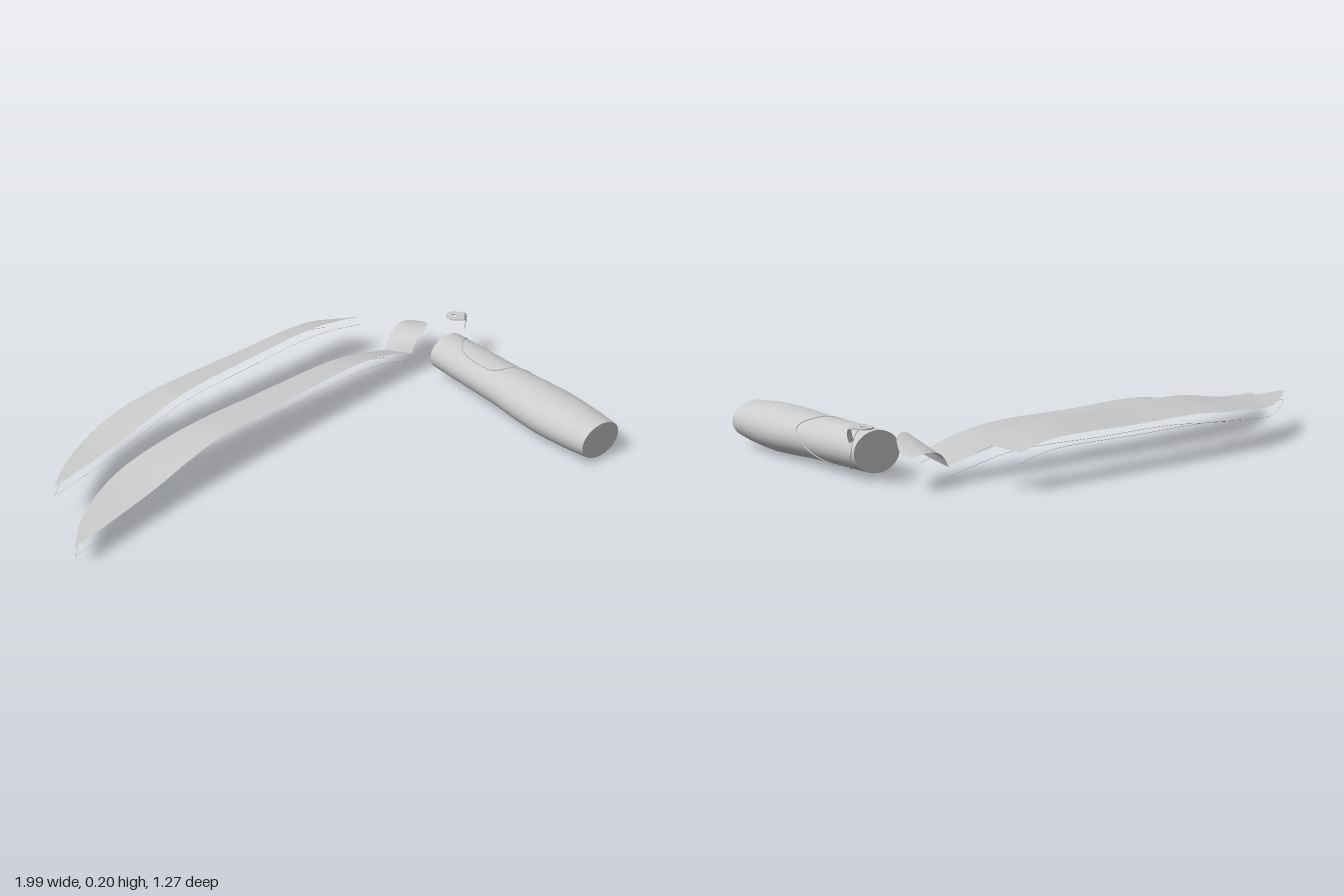
import * as THREE from 'three';

const V = (x, y, z) => new THREE.Vector3(x, y, z);
const grey = new THREE.MeshStandardMaterial({ color: 0xcccccc });
const greySheet = new THREE.MeshStandardMaterial({ color: 0xcccccc, side: THREE.DoubleSide });

function part(group, name, geometry, material = grey) {
  const mesh = new THREE.Mesh(geometry, material);
  mesh.name = name;
  group.add(mesh);
  return mesh;
}

// Joins equal-length rows of points into one smooth surface
function loft(rows, closed = false) {
  const n = rows[0].length, index = [], pos = [];
  rows.forEach(row => row.forEach(p => pos.push(p.x, p.y, p.z)));
  for (let i = 0; i < rows.length - 1; i++) {
    for (let j = 0; j < (closed ? n : n - 1); j++) {
      const a = i * n + j, b = i * n + (j + 1) % n;
      index.push(a, b, a + n, b, b + n, a + n);
    }
  }
  const g = new THREE.BufferGeometry();
  g.setAttribute('position', new THREE.Float32BufferAttribute(pos, 3));
  g.setIndex(index);
  g.computeVertexNormals();
  return g;
}

// Stations: front edge x, y, z then back edge x, y, z
function edges(stations) {
  return [0, 3].map(k => new THREE.CatmullRomCurve3(
    stations.map(s => V(s[k], s[k + 1], s[k + 2]))));
}

function sheet(stations, steps) {
  const [front, back] = edges(stations);
  const rows = [];
  for (let i = 0; i <= steps; i++) {
    const f = front.getPoint(i / steps), b = back.getPoint(i / steps);
    rows.push([0, 0.25, 0.5, 0.75, 1].map(t => f.clone().lerp(b, t)));
  }
  return loft(rows);
}

// Hair-thin line floating below a sheet's edges
function trim(group, name, stations, drop) {
  edges(stations).forEach(curve => {
    const line = part(group, name, new THREE.TubeGeometry(curve, 60, 0.0007, 4));
    line.position.y = -drop;
  });
}

// Handle cross-sections: z, centre y, half width, half height
const handleStations = [
  [0.63, 0.087, 0.091, 0.068], [0.55, 0.087, 0.101, 0.076], [0.46, 0.087, 0.108, 0.081],
  [0.38, 0.087, 0.111, 0.083], [0.28, 0.088, 0.107, 0.08], [0.15, 0.09, 0.096, 0.074],
  [0, 0.092, 0.092, 0.073], [-0.195, 0.095, 0.087, 0.071]
];
const handleX = 0.847;

function handlePoint(z, angle, lift = 0) {
  const s = handleStations;
  let i = 0;
  while (i < s.length - 2 && z < s[i + 1][0]) i++;
  const t = (z - s[i][0]) / (s[i + 1][0] - s[i][0]);
  const [cy, rx, ry] = [1, 2, 3].map(k => THREE.MathUtils.lerp(s[i][k], s[i + 1][k], t));
  return V(handleX + Math.cos(angle) * (rx + lift), cy + Math.sin(angle) * (ry + lift), z);
}

function makeHandle() {
  const g = new THREE.Group();
  g.name = 'handle';
  const rows = handleStations.map(s => Array.from({ length: 48 }, (_, j) =>
    handlePoint(s[0], -j / 48 * Math.PI * 2)));
  const body = loft(rows, true);
  // Wind the wall outwards
  const n = body.attributes.normal;
  const outward = n.getX(0) > 0;
  if (!outward) {
    const idx = body.index.array;
    for (let i = 0; i < idx.length; i += 3) [idx[i + 1], idx[i + 2]] = [idx[i + 2], idx[i + 1]];
    body.computeVertexNormals();
  }
  part(g, 'handleBody', body);
  // End caps
  [handleStations[0], handleStations[handleStations.length - 1]].forEach(([z, cy, rx, ry], i) => {
    const cap = part(g, i ? 'handleBackCap' : 'handleFrontCap', new THREE.CircleGeometry(1, 48));
    cap.scale.set(rx, ry, 1);
    cap.position.set(handleX, cy, z);
    if (i) cap.rotation.y = Math.PI;
  });
  // Grip panel seam: z and angle in degrees
  const seam = [[-0.06, 116], [0.11, 116], [0.15, 70], [0.18, 32], [0.13, 0], [0.05, -42],
    [0, -68], [-0.085, -68], [-0.14, -38], [-0.178, 0], [-0.175, 22], [-0.146, 58], [-0.11, 92]];
  const curve = new THREE.CatmullRomCurve3(
    seam.map(([z, a]) => handlePoint(z, a * Math.PI / 180)), true, 'centripetal');
  // Resample so that the seam hugs the curved surface
  const hug = curve.getSpacedPoints(80).slice(0, 80).map(p => {
    const c = handlePoint(p.z, Math.PI / 2), h = handlePoint(p.z, 0);
    const angle = Math.atan2((p.y - h.y) / (c.y - h.y), (p.x - handleX) / (h.x - handleX));
    return handlePoint(p.z, angle, 0.001);
  });
  part(g, 'gripSeam', new THREE.TubeGeometry(new THREE.CatmullRomCurve3(hug, true), 160, 0.0025, 6, true));
  return g;
}

function makeCatch() {
  const g = new THREE.Group();
  g.name = 'catch';
  // Rounded plate with a pin hole
  const shape = new THREE.Shape();
  shape.absarc(0, 0, 0.034, Math.PI / 2, Math.PI * 1.5, false);
  shape.lineTo(0.036, -0.03);
  shape.lineTo(0.036, 0.03);
  shape.closePath();
  const hole = new THREE.Path();
  hole.absarc(0, 0, 0.011, 0, Math.PI * 2, true);
  shape.holes.push(hole);
  const plate = new THREE.ExtrudeGeometry(shape, { depth: 0.005, bevelEnabled: false, curveSegments: 20 });
  plate.rotateX(-Math.PI / 2);
  part(g, 'catchPlate', plate);
  // Lip curling down from the plate
  const profile = [[0.036, 0.005], [0.043, 0], [0.046, -0.012], [0.044, -0.028], [0.038, -0.045]];
  part(g, 'catchLip', loft(profile.map(([x, y]) => [V(x, y, -0.03), V(x, y, 0.03)])), greySheet);
  g.position.set(0.935, 0.19, -0.256);
  g.rotation.y = -Math.PI / 4;
  return g;
}

export function createModel() {
  const model = new THREE.Group();
  model.name = 'explodedBladeTool';

  const lower = [
    [-1, 0.08, 0.03, -1, 0.08, 0.03], [-0.86, 0.086, -0.005, -0.88, 0.08, -0.107],
    [-0.6, 0.105, -0.07, -0.66, 0.082, -0.255], [-0.45, 0.13, -0.105, -0.5, 0.097, -0.3],
    [-0.27, 0.155, -0.14, -0.27, 0.115, -0.33], [0.05, 0.155, -0.19, 0.05, 0.115, -0.358],
    [0.43, 0.155, -0.242, 0.43, 0.115, -0.382], [0.6, 0.13, -0.26, 0.58, 0.09, -0.39],
    [0.73, 0.09, -0.27, 0.71, 0.06, -0.395]
  ];
  const upper = [
    [-0.9, 0.135, -0.25, -0.9, 0.135, -0.25], [-0.78, 0.14, -0.28, -0.8, 0.135, -0.345],
    [-0.6, 0.15, -0.325, -0.63, 0.13, -0.465], [-0.42, 0.175, -0.37, -0.45, 0.145, -0.532],
    [-0.25, 0.2, -0.405, -0.25, 0.16, -0.558], [0.1, 0.2, -0.465, 0.1, 0.16, -0.592],
    [0.43, 0.2, -0.505, 0.43, 0.16, -0.62], [0.57, 0.183, -0.515, 0.53, 0.146, -0.63],
    [0.68, 0.16, -0.525, 0.59, 0.13, -0.635]
  ];
  part(model, 'lowerBlade', sheet(lower, 64), greySheet);
  part(model, 'upperBlade', sheet(upper, 64), greySheet);
  trim(model, 'lowerBladeTrim', lower, 0.035);
  trim(model, 'upperBladeTrim', upper, 0.035);

  // Arched bracket at the root of the lower blade
  const bracket = [
    [0.73, 0.09, -0.27, 0.705, 0.06, -0.4], [0.745, 0.13, -0.268, 0.725, 0.09, -0.407],
    [0.77, 0.157, -0.268, 0.76, 0.115, -0.422], [0.8, 0.167, -0.277, 0.82, 0.125, -0.443],
    [0.85, 0.16, -0.32, 0.87, 0.118, -0.442], [0.888, 0.128, -0.395, 0.89, 0.12, -0.41]
  ];
  part(model, 'bracket', sheet(bracket, 28), greySheet);

  model.add(makeHandle(), makeCatch());
  return model;
}
